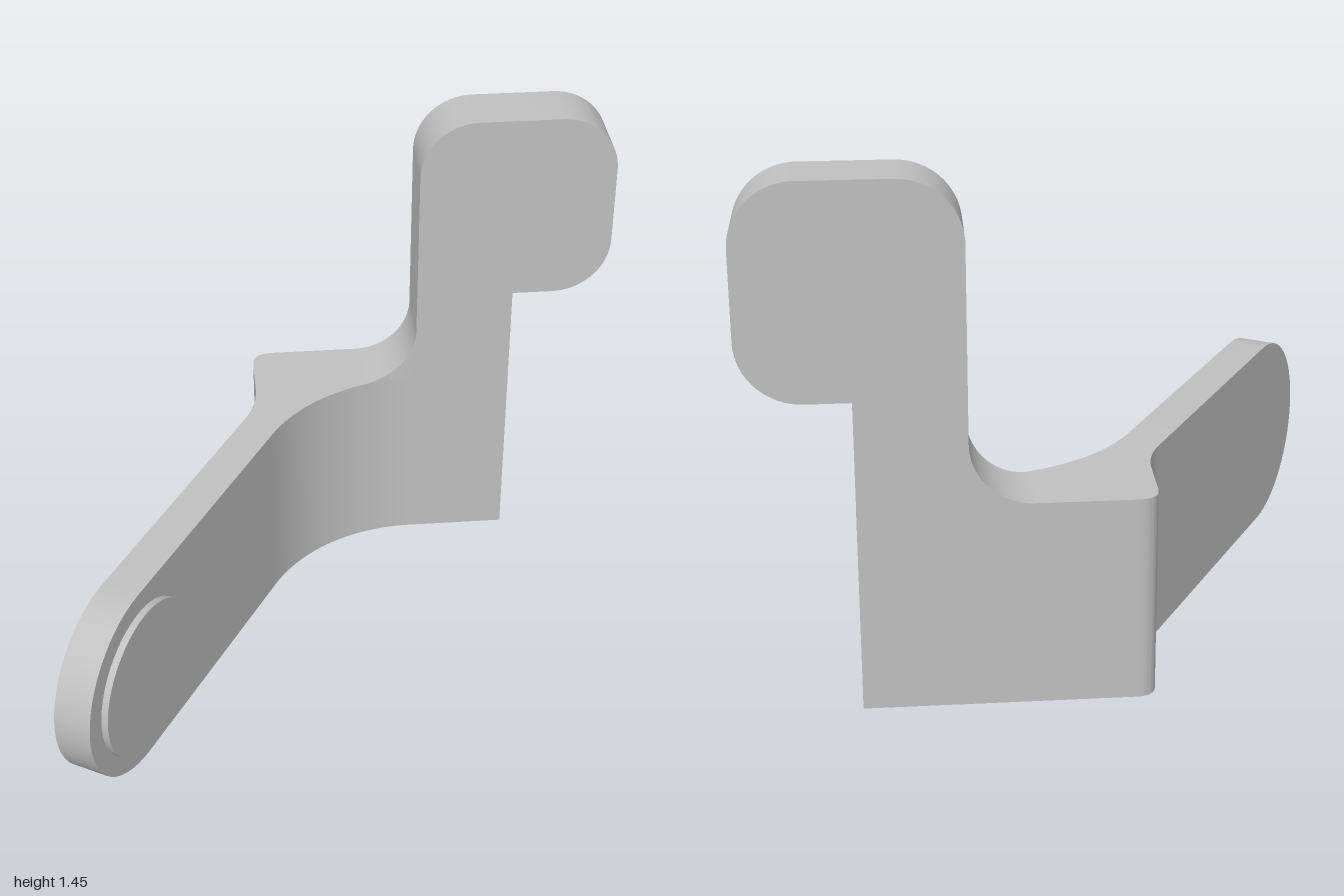
import * as THREE from 'three';
import { toCreasedNormals } from 'three/addons/utils/BufferGeometryUtils.js';

const BEND_R = 0.52; // inner bend between arm and wing
const THICK = 0.18;  // wing thickness
const R = 0.17;      // corner radius of the tab and its fillet

const extrude = (shape, depth) =>
  new THREE.ExtrudeGeometry(shape, { depth, bevelEnabled: false, curveSegments: 14 });

export function createModel() {
  const group = new THREE.Group();
  const grey = new THREE.MeshStandardMaterial({ color: 0xc0c0c0 });
  grey.name = 'grey';
  const add = (name, geometry, parent = group) => {
    const mesh = new THREE.Mesh(toCreasedNormals(geometry, 0.5), grey);
    mesh.name = name;
    parent.add(mesh);
    return mesh;
  };

  // Bent lower body, drawn in plan (shape y = -z) and raised to the arm's height
  const plan = new THREE.Shape();
  plan.moveTo(-0.38, 0.1);
  plan.lineTo(-0.27, 0.1);
  plan.absarc(0.25, 0.1, BEND_R, Math.PI, Math.PI * 2 / 3, true);
  plan.lineTo(0.25, 0.7);
  plan.lineTo(0.16, 0.856);
  plan.lineTo(-0.468, 0.493);
  plan.quadraticCurveTo(-0.52, 0.463, -0.49, 0.411);
  plan.lineTo(-0.42, 0.29);
  plan.quadraticCurveTo(-0.38, 0.22, -0.38, 0.14);
  plan.closePath();
  add('bentBody', extrude(plan, 0.58).rotateX(-Math.PI / 2));

  // Straight arm with a round end, drawn from the side (shape x = -z)
  const side = new THREE.Shape();
  side.moveTo(0.1, 0);
  side.lineTo(0.1, 0.58);
  side.lineTo(-0.71, 0.58);
  side.absarc(-0.71, 0.29, 0.29, Math.PI / 2, Math.PI * 1.5, false);
  side.closePath();
  add('arm', extrude(side, 0.11).rotateY(Math.PI / 2).translate(-0.38, 0, 0));

  // Raised round pad on the inner face of the arm
  add('pad', new THREE.CylinderGeometry(0.23, 0.23, 0.03, 48).rotateZ(Math.PI / 2))
    .position.set(-0.265, 0.29, 0.71);

  // Angled wing: local x runs along the wing, local z = 0 is its front face
  const wing = new THREE.Group();
  wing.name = 'wing';
  wing.position.set(-0.01, 0, -0.55);
  wing.rotation.y = Math.PI / 6;
  group.add(wing);

  // Neck and rounded tab
  const u0 = 0.01, u1 = 0.3, u2 = 0.589, low = 0.58, mid = 0.873, top = 1.45;
  const tab = new THREE.Shape();
  tab.moveTo(u0, low);
  tab.lineTo(u1, low);
  tab.lineTo(u1, mid);
  tab.lineTo(u2 - R, mid);
  tab.absarc(u2 - R, mid + R, R, -Math.PI / 2, 0, false);
  tab.lineTo(u2, top - R);
  tab.absarc(u2 - R, top - R, R, 0, Math.PI / 2, false);
  tab.lineTo(u0 + R, top);
  tab.absarc(u0 + R, top - R, R, Math.PI / 2, Math.PI, false);
  tab.closePath();
  add('neckAndTab', extrude(tab, THICK).translate(0, 0, -THICK), wing);

  // Concave fillet at the neck's foot; its front follows the bend
  const fillet = new THREE.Shape();
  fillet.moveTo(u0, low);
  fillet.lineTo(u0, low + R);
  fillet.absarc(u0 - R, low + R, R, 0, -Math.PI / 2, true);
  for (let i = 1; i < 6; i++) fillet.lineTo(u0 - R + R * i / 6, low);
  fillet.closePath();
  const filletGeo = extrude(fillet, THICK).translate(0, 0, -THICK);
  const pos = filletGeo.attributes.position;
  for (let i = 0; i < pos.count; i++) {
    const u = Math.min(pos.getX(i), 0);
    if (pos.getZ(i) > -0.01) pos.setZ(i, BEND_R - Math.sqrt(BEND_R * BEND_R - u * u));
  }
  add('neckFillet', filletGeo, wing);

  return group;
}
